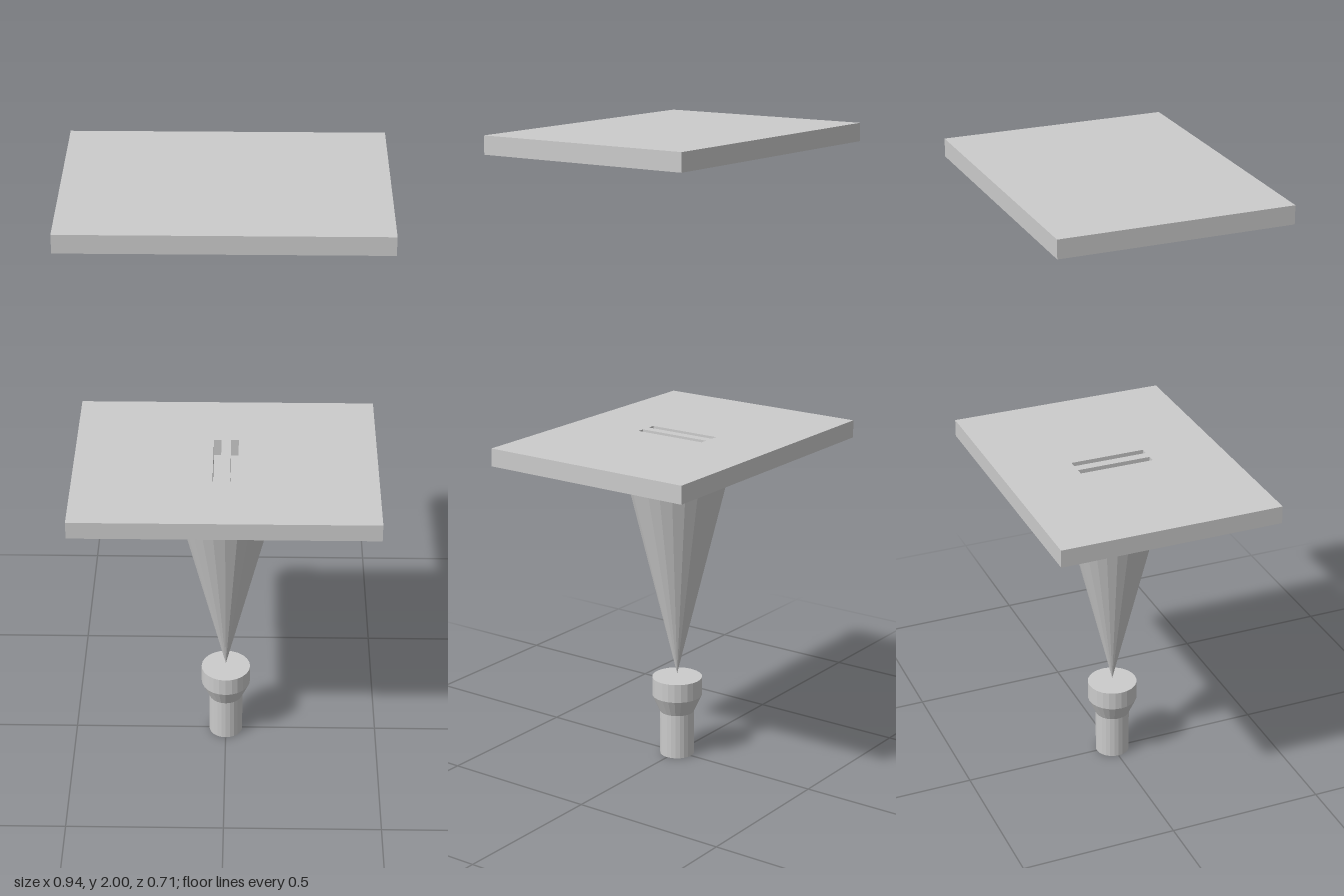
import * as THREE from 'three';

const material = new THREE.MeshStandardMaterial({ color: 0xcccccc, flatShading: true });
const W = 0.94, D = 0.706, T = 0.056, SIDES = 24;

function add(group, name, geometry, y = 0) {
  const mesh = new THREE.Mesh(geometry, material);
  mesh.name = name;
  mesh.position.y = y;
  group.add(mesh);
}

function rectangle(path, cx, w, d) {
  path.moveTo(cx - w / 2, -d / 2);
  path.lineTo(cx + w / 2, -d / 2);
  path.lineTo(cx + w / 2, d / 2);
  path.lineTo(cx - w / 2, d / 2);
  path.closePath();
  return path;
}

// Horizontal plate pierced by two narrow parallel slots
function slottedPlate() {
  const shape = rectangle(new THREE.Shape(), 0, W, D);
  for (const side of [-1, 1]) {
    shape.holes.push(rectangle(new THREE.Path(), side * 0.027, 0.024, 0.24));
  }
  const geometry = new THREE.ExtrudeGeometry(shape, { depth: T, bevelEnabled: false });
  return geometry.rotateX(-Math.PI / 2);
}

export function createModel() {
  const model = new THREE.Group();
  model.name = 'doubleSlitSetup';

  // Torch: narrow handle flaring to a wider head, closed at both ends
  const profile = [[0, 0], [0.055, 0], [0.055, 0.145], [0.08, 0.2], [0.08, 0.26], [0, 0.26]]
    .map(([r, y]) => new THREE.Vector2(r, y));
  add(model, 'torch', new THREE.LatheGeometry(profile, SIDES));

  // Light beam: cone with its point just above the torch
  const beam = new THREE.ConeGeometry(0.175, 0.72, SIDES).rotateX(Math.PI);
  add(model, 'lightBeam', beam, 0.63);

  // Slotted plate above the beam, plain screen on top
  add(model, 'slottedPlate', slottedPlate(), 1.004);
  add(model, 'screen', new THREE.BoxGeometry(W, T, D), 2 - T / 2);

  return model;
}
